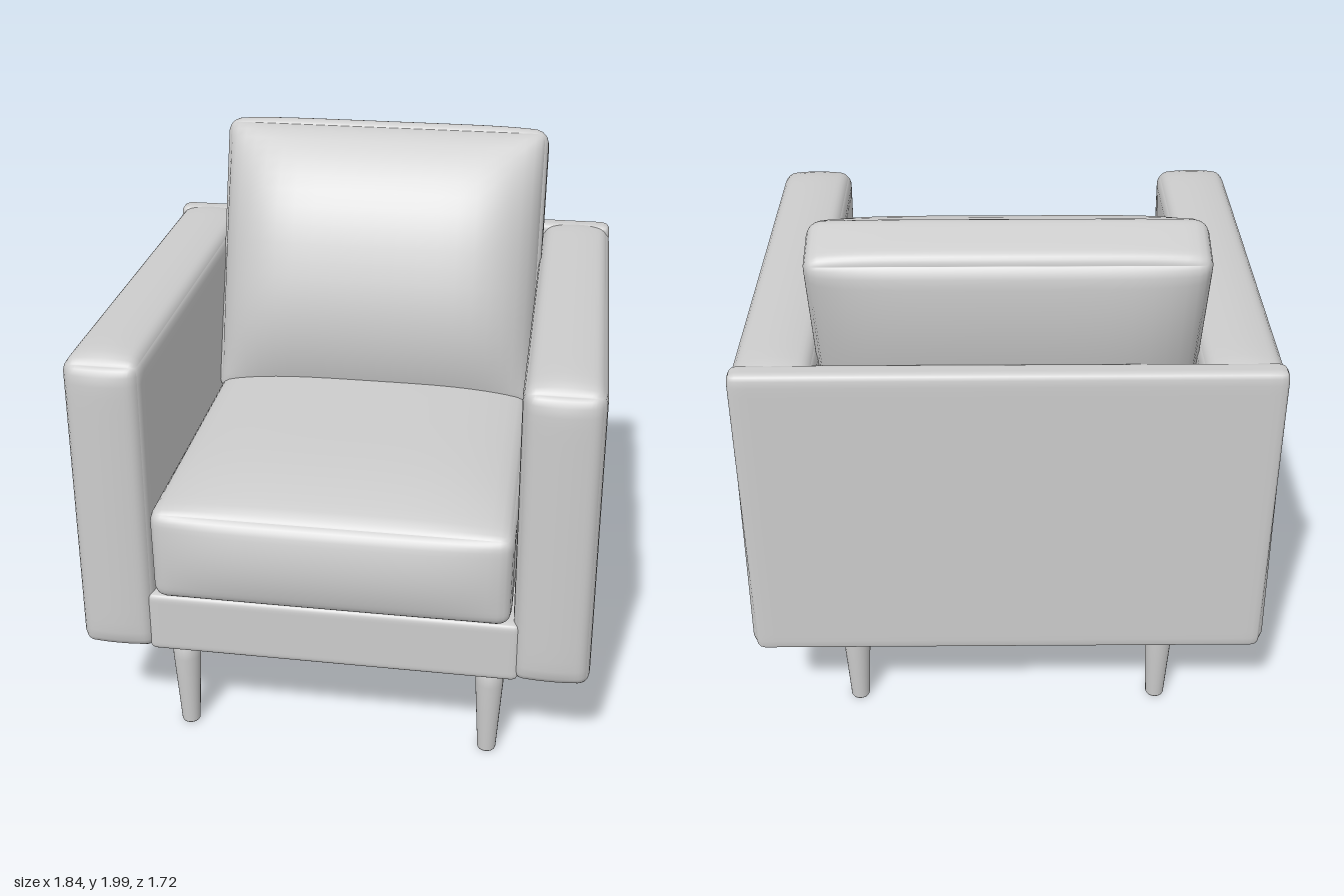
import * as THREE from 'three';
import { mergeVertices } from 'three/addons/utils/BufferGeometryUtils.js';

// Rounded box spanning min..max with radius r. "puff" swells chosen faces:
// front, back, top are distances; k is how flat the swelling is along x, y, z.
function softBox(min, max, r, puff = {}, segments = 24) {
  const { front = 0, back = 0, top = 0, k = [6, 4, 6] } = puff;
  const half = max.map((m, i) => (m - min[i]) / 2);
  const centre = max.map((m, i) => (m + min[i]) / 2);
  let geo = new THREE.BoxGeometry(2, 2, 2, segments, segments, segments);
  geo.deleteAttribute('normal');
  geo.deleteAttribute('uv');
  geo = mergeVertices(geo, 1e-5);
  const pos = geo.attributes.position;
  const p = new THREE.Vector3();
  const inner = new THREE.Vector3();
  const lim = new THREE.Vector3(half[0] - r, half[1] - r, half[2] - r);
  for (let i = 0; i < pos.count; i++) {
    // crowd the rows of points towards the edges
    const t = [pos.getX(i), pos.getY(i), pos.getZ(i)].map(a => Math.sin(a * Math.PI / 2));
    const w = t.map((a, j) => 1 - Math.pow(Math.min(1, Math.abs(a)), k[j]));
    p.set(t[0] * half[0], t[1] * half[1], t[2] * half[2]);
    inner.copy(p).clamp(lim.clone().negate(), lim);
    p.sub(inner).setLength(r).add(inner);
    p.z += w[0] * w[1] * (t[2] > 0 ? front : -back);
    if (t[1] > 0) p.y += w[0] * w[2] * top;
    pos.setXYZ(i, p.x + centre[0], p.y + centre[1], p.z + centre[2]);
  }
  geo.computeVertexNormals();
  return geo;
}

export function createModel() {
  const model = new THREE.Group();
  model.name = 'armchair';
  const grey = new THREE.MeshStandardMaterial({ color: 0xcccccc });
  grey.name = 'light grey';

  const add = (name, geometry) => {
    const mesh = new THREE.Mesh(geometry, grey);
    mesh.name = name;
    model.add(mesh);
    return mesh;
  };

  // Frame: seat base and back panel
  add('seatBase', softBox([-0.67, 0.39, -0.82], [0.67, 0.63, 0.79], 0.025));
  add('backPanel', softBox([-0.905, 0.39, -0.86], [0.905, 1.55, -0.77], 0.03));

  // Arms, with a gently domed top and front, slightly wider at the foot
  for (const side of [1, -1]) {
    const x = [0.63 * side, 0.905 * side].sort((a, b) => a - b);
    const geo = softBox([x[0], 0.39, -0.85], [x[1], 1.53, 0.79], 0.045,
      { front: 0.025, top: 0.025, k: [2, 20, 20] });
    const pos = geo.attributes.position;
    for (let i = 0; i < pos.count; i++) {
      pos.setX(i, pos.getX(i) + side * 0.015 * (1.55 - pos.getY(i)) / 1.16);
    }
    geo.computeVertexNormals();
    add(side > 0 ? 'leftArm' : 'rightArm', geo);
  }

  // Seat cushion
  add('seatCushion', softBox([-0.635, 0.63, -0.78], [0.635, 0.99, 0.82], 0.05,
    { front: 0.04, top: 0.07, k: [4, 2, 4] }));

  // Leaning back cushion, fuller in front
  const backCushion = add('backCushion', softBox([-0.64, -0.55, -0.115], [0.64, 0.55, 0.115], 0.05,
    { front: 0.2, back: 0.1, top: 0.015, k: [6, 2.5, 4] }));
  backCushion.position.set(0, 1.435, -0.525);
  backCushion.rotation.x = -0.336;

  // Tapered round legs
  const legProfile = [[0, 0], [0.032, 0], [0.034, 0.004], [0.044, 0.18], [0.051, 0.3], [0.053, 0.4], [0, 0.4]]
    .map(([x, y]) => new THREE.Vector2(x, y));
  const legGeometry = new THREE.LatheGeometry(legProfile, 24);
  for (const x of [0.565, -0.565]) {
    for (const z of [0.67, -0.67]) {
      add((z > 0 ? 'front' : 'back') + (x > 0 ? 'Left' : 'Right') + 'Leg', legGeometry).position.set(x, 0, z);
    }
  }
  return model;
}
